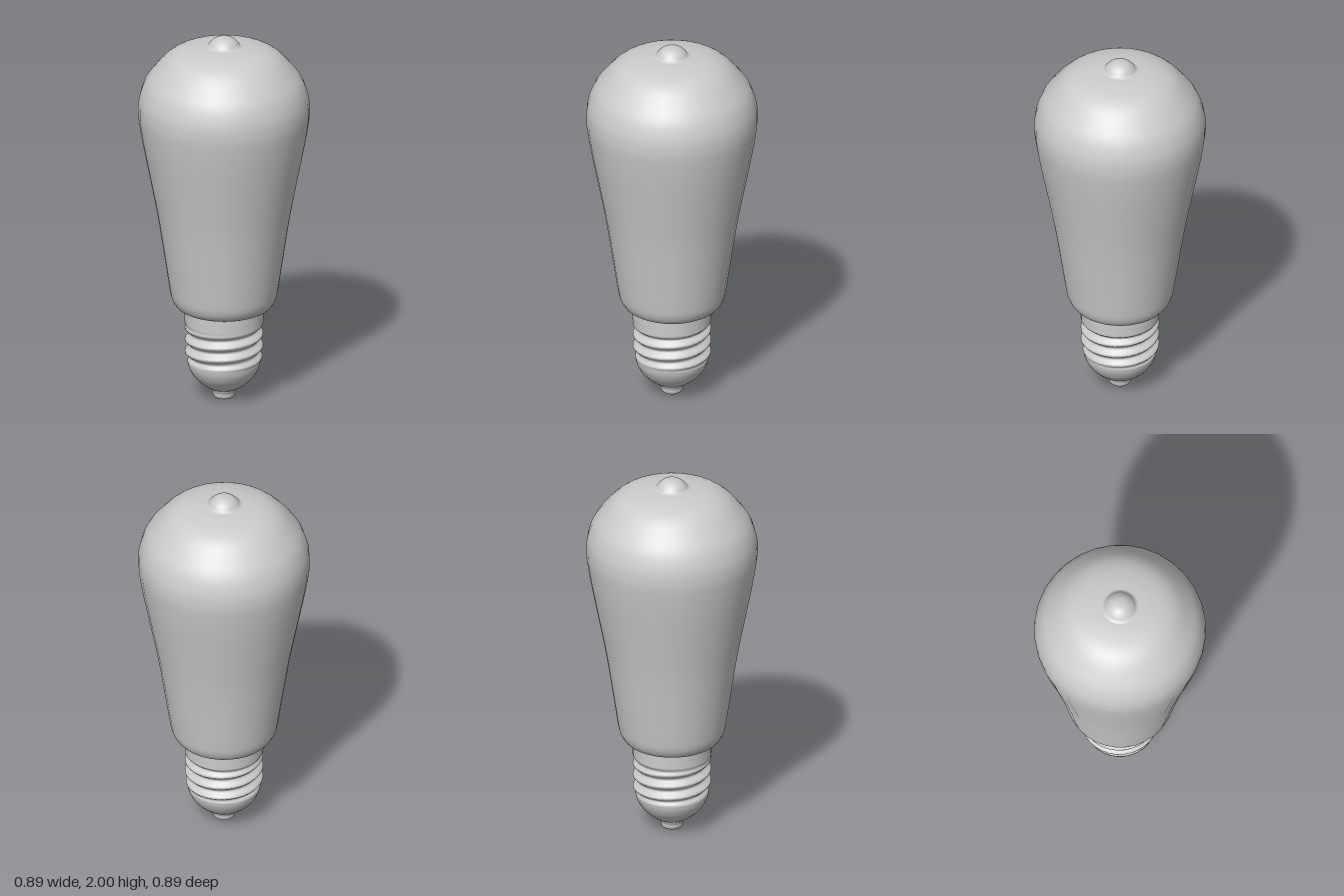
import * as THREE from 'three';
import { mergeVertices } from 'three/addons/utils/BufferGeometryUtils.js';

const SIDES = 32;
const material = new THREE.MeshStandardMaterial({ color: 0xcccccc, roughness: 0.6 });

// Smooth curve through [radius, height] pairs
function smoothProfile(pairs, steps) {
  const curve = new THREE.SplineCurve(pairs.map(([r, y]) => new THREE.Vector2(r, y)));
  return curve.getPoints(steps).map((p) => p.set(Math.max(p.x, 0), p.y));
}

function turned(name, points) {
  const mesh = new THREE.Mesh(new THREE.LatheGeometry(points, SIDES), material);
  mesh.name = name;
  return mesh;
}

// Screw shell: a cylinder with a right-handed helical groove pressed into it
function screwShell() {
  const bottom = 0.2, top = 0.51, rows = 80, pitch = 0.066;
  const points = [];
  for (let i = 0; i <= rows; i++) {
    points.push(new THREE.Vector2(0.204, bottom + (top - bottom) * i / rows));
  }
  const geometry = new THREE.LatheGeometry(points, SIDES);
  const pos = geometry.attributes.position;
  for (let i = 0; i < pos.count; i++) {
    const x = pos.getX(i), y = pos.getY(i), z = pos.getZ(i);
    const turn = Math.atan2(x, z) / (2 * Math.PI);
    const wave = 0.5 + 0.5 * Math.cos(2 * Math.PI * ((y - 0.374) / pitch - turn));
    const fade = THREE.MathUtils.smoothstep(y, 0.2, 0.235) *
      (1 - THREE.MathUtils.smoothstep(y, 0.385, 0.425));
    // narrows slightly towards the insulator
    const taper = 0.014 * (1 - THREE.MathUtils.smoothstep(y, 0.2, 0.245));
    const scale = (0.204 - taper - 0.026 * fade * wave) / 0.204;
    pos.setXYZ(i, x * scale, y, z * scale);
  }
  // weld the seam so the shading runs round the thread
  geometry.deleteAttribute('uv');
  geometry.deleteAttribute('normal');
  const welded = mergeVertices(geometry, 1e-5);
  welded.computeVertexNormals();
  const mesh = new THREE.Mesh(welded, material);
  mesh.name = 'screwShell';
  return mesh;
}

export function createModel() {
  const group = new THREE.Group();
  group.name = 'lightBulb';

  // Glass envelope, closed underneath
  group.add(turned('glassBulb', smoothProfile([
    [0.19, 0.5], [0.22, 0.502], [0.25, 0.52], [0.272, 0.56], [0.284, 0.62],
    [0.299, 0.72], [0.342, 1.0], [0.38, 1.2], [0.419, 1.4], [0.44, 1.53],
    [0.445, 1.6], [0.438, 1.67], [0.41, 1.75], [0.36, 1.82], [0.3, 1.883],
    [0.24, 1.918], [0.17, 1.937], [0.1, 1.946], [0, 1.95],
  ], 90)));

  // Sealed glass tip
  group.add(turned('glassTip', smoothProfile([
    [0.1, 1.945], [0.084, 1.952], [0.07, 1.97], [0.05, 1.987], [0.027, 1.997], [0, 2],
  ], 20)));

  group.add(screwShell());

  // Rounded insulator
  group.add(turned('insulator', smoothProfile([
    [0, 0.05], [0.065, 0.056], [0.095, 0.07], [0.13, 0.098], [0.16, 0.13],
    [0.182, 0.17], [0.19, 0.201],
  ], 30)));

  // Bottom contact
  group.add(turned('contact', smoothProfile([
    [0, 0], [0.035, 0.002], [0.052, 0.009], [0.058, 0.022], [0.06, 0.036],
    [0.066, 0.048], [0.072, 0.062],
  ], 24)));

  return group;
}
